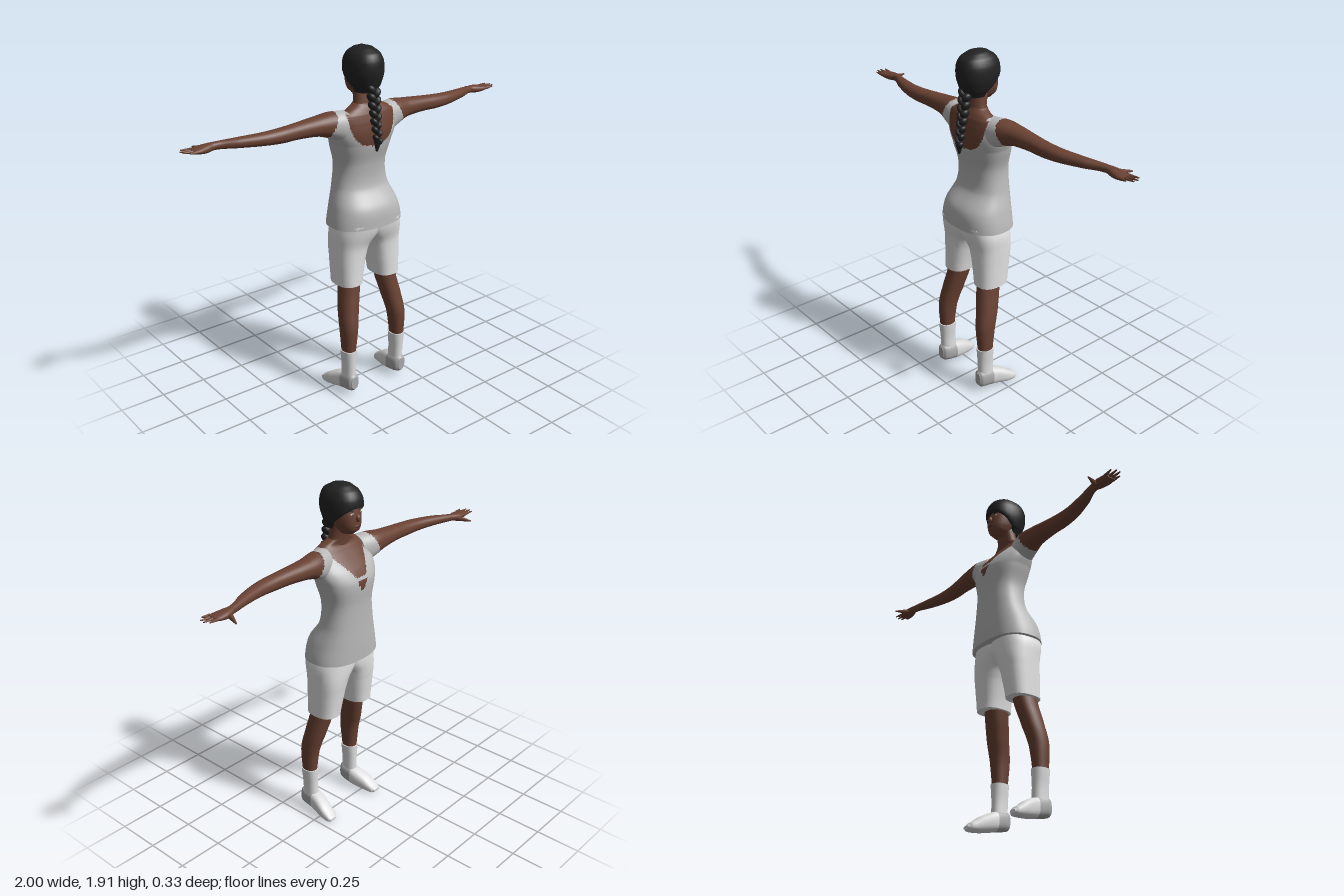
import * as THREE from 'three';

const mat = (name, color) => {
  const m = new THREE.MeshStandardMaterial({ color });
  m.name = name;
  return m;
};

// Smooth interpolation through rows of numbers
function sampleRows(rows, sub) {
  const out = [];
  for (let i = 0; i < rows.length - 1; i++) {
    const p0 = rows[Math.max(i - 1, 0)], p1 = rows[i], p2 = rows[i + 1], p3 = rows[Math.min(i + 2, rows.length - 1)];
    for (let k = 0; k < sub; k++) {
      const t = k / sub;
      out.push(p1.map((v, c) => {
        const m1 = (p2[c] - p0[c]) / 2, m2 = (p3[c] - p1[c]) / 2;
        if (c === 0) return v + (p2[c] - v) * t;
        return v * (2 * t ** 3 - 3 * t * t + 1) + m1 * (t ** 3 - 2 * t * t + t)
          + p2[c] * (3 * t * t - 2 * t ** 3) + m2 * (t ** 3 - t * t);
      }));
    }
  }
  out.push(rows[rows.length - 1]);
  return out;
}

const AXES = {
  x: (t, a, b) => [t, a, b], // rows: x, yMin, yMax, zMin, zMax
  y: (t, a, b) => [b, t, a], // rows: y, zMin, zMax, xMin, xMax
  z: (t, a, b) => [a, b, t], // rows: z, xMin, xMax, yMin, yMax
};

// Capped body through rounded sections; pick() sends a face to the second material
function loft(name, axis, rows, materials, { n = 2.2, segs = 24, sub = 4, side = 1, pick = null, warp = null } = {}) {
  const pos = [], lists = [[], []], rings = sampleRows(rows, sub);
  const place = (t, a, b) => {
    const p = AXES[axis](t, a, b);
    if (warp) warp(p);
    pos.push(p[0] * side, p[1], p[2]);
  };
  const ringPoints = ([t, a0, a1, b0, b1]) => {
    for (let j = 0; j < segs; j++) {
      const ang = (j / segs) * Math.PI * 2, c = Math.cos(ang), s = Math.sin(ang);
      const f = (v) => Math.sign(v) * Math.abs(v) ** (2 / n);
      place(t, (a0 + a1) / 2 + f(c) * (a1 - a0) / 2, (b0 + b1) / 2 + f(s) * (b1 - b0) / 2);
    }
  };
  const face = (i, j, k) => {
    const mid = [0, 1, 2].map((c) => (pos[i * 3 + c] + pos[j * 3 + c] + pos[k * 3 + c]) / 3);
    const list = lists[pick && pick(Math.abs(mid[0]), mid[1], mid[2]) ? 1 : 0];
    if (side > 0) list.push(i, j, k); else list.push(i, k, j);
  };
  rings.forEach(ringPoints);
  for (let i = 0; i < rings.length - 1; i++) for (let j = 0; j < segs; j++) {
    const a = i * segs + j, b = i * segs + (j + 1) % segs;
    face(a, b, b + segs);
    face(a, b + segs, a + segs);
  }
  for (const end of [0, 1]) {
    const r = end ? rings[rings.length - 1] : rings[0], base = pos.length / 3;
    ringPoints(r);
    place(r[0], (r[1] + r[2]) / 2, (r[3] + r[4]) / 2);
    for (let j = 0; j < segs; j++) {
      const a = base + j, b = base + (j + 1) % segs;
      if (end) face(a, b, base + segs); else face(b, a, base + segs);
    }
  }
  const g = new THREE.BufferGeometry();
  g.setAttribute('position', new THREE.Float32BufferAttribute(pos, 3));
  g.setIndex([...lists[0], ...lists[1]]);
  if (pick) {
    g.addGroup(0, lists[0].length, 0);
    g.addGroup(lists[0].length, lists[1].length, 1);
  }
  g.computeVertexNormals();
  const mesh = new THREE.Mesh(g, materials);
  mesh.name = name;
  return mesh;
}

// Tapered rod between two points
function rod(name, from, to, r0, r1, material) {
  const a = new THREE.Vector3(...from), b = new THREE.Vector3(...to), d = b.clone().sub(a);
  const mesh = new THREE.Mesh(new THREE.CylinderGeometry(r1, r0, d.length(), 8), material);
  mesh.position.copy(a).add(b).multiplyScalar(0.5);
  mesh.quaternion.setFromUnitVectors(new THREE.Vector3(0, 1, 0), d.normalize());
  mesh.name = name;
  return mesh;
}

function blob(name, p, s, material, tilt = 0) {
  const mesh = new THREE.Mesh(new THREE.SphereGeometry(1, 14, 10), material);
  mesh.position.set(...p);
  mesh.scale.set(...s);
  mesh.rotation.z = tilt;
  mesh.name = name;
  return mesh;
}

export function createModel() {
  const skin = mat('skin', 0x6a4233), hair = mat('hair', 0x222222), shirt = mat('shirt grey', 0xb9b9b9);
  const cloth = mat('shorts white', 0xe4e4e4), sock = mat('sock white', 0xe0e0e0), shoe = mat('shoe white', 0xdcdcdc);
  const heel = mat('heel grey', 0xaaaaaa), lip = mat('lip', 0x57302a), eye = mat('eye white', 0xc8beb4);
  const model = new THREE.Group();
  model.name = 'woman';

  // Torso: the top, with scooped back, V front and keyhole showing skin
  const neckline = (x, y, z) => {
    if (y > 1.59) return x < 0.13;
    if (z > 0.03) return (x / 0.145) ** 2.5 + ((1.6 - y) / 0.185) ** 2.5 < 1;
    return (y > 1.45 && x < 0.035 + (y - 1.45) * 0.75) || (y > 1.37 && y < 1.435 && x < (y - 1.37) * 0.6);
  };
  model.add(loft('torso', 'y', [
    [0.98, -0.13, 0.17, -0.212, 0.212], [1.08, -0.13, 0.157, -0.19, 0.19], [1.18, -0.128, 0.092, -0.157, 0.157],
    [1.3, -0.128, 0.087, -0.143, 0.143], [1.42, -0.133, 0.112, -0.172, 0.172], [1.48, -0.105, 0.117, -0.19, 0.19],
    [1.54, -0.055, 0.108, -0.185, 0.185], [1.58, -0.02, 0.097, -0.165, 0.165], [1.605, -0.005, 0.085, -0.12, 0.12],
    [1.63, -0.012, 0.072, -0.072, 0.072],
  ], [shirt, skin], { n: 2.4, segs: 96, sub: 9, pick: neckline }));

  // Neck and head
  model.add(loft('neck', 'y', [
    [1.56, -0.01, 0.085, -0.095, 0.095], [1.62, -0.012, 0.074, -0.068, 0.068], [1.72, -0.032, 0.06, -0.058, 0.058],
  ], skin));
  model.add(loft('face', 'y', [
    [1.665, -0.065, 0.03, -0.035, 0.035], [1.685, -0.09, 0.05, -0.052, 0.052], [1.72, -0.097, 0.075, -0.067, 0.067],
    [1.78, -0.09, 0.1, -0.077, 0.077], [1.85, -0.07, 0.1, -0.07, 0.07],
  ], skin));
  model.add(blob('nose', [0, 1.752, -0.093], [0.014, 0.02, 0.016], skin));
  model.add(blob('mouth', [0, 1.712, -0.094], [0.022, 0.007, 0.006], lip));
  for (const s of [-1, 1]) {
    model.add(blob('eye', [s * 0.03, 1.775, -0.083], [0.013, 0.006, 0.006], eye));
    model.add(blob('iris', [s * 0.03, 1.775, -0.087], [0.005, 0.005, 0.004], hair));
    model.add(blob('eyebrow', [s * 0.031, 1.791, -0.082], [0.017, 0.003, 0.006], hair));
  }

  // Hair cap, its lower edge swept up over the face
  model.add(loft('hair', 'y', [
    [1.685, -0.05, 0.095, -0.06, 0.06], [1.72, -0.08, 0.112, -0.08, 0.08], [1.78, -0.1, 0.13, -0.095, 0.095],
    [1.84, -0.1, 0.13, -0.092, 0.092], [1.88, -0.078, 0.112, -0.074, 0.074], [1.905, -0.04, 0.07, -0.045, 0.045],
    [1.913, -0.015, 0.035, -0.018, 0.018],
  ], hair, {
    segs: 28,
    warp: (p) => { if (p[2] < 0.02) p[1] = Math.max(p[1], Math.min(1.805, 1.71 + (0.02 - p[2]) * 0.85)); },
  }));

  // Braid of alternating strands
  const braid = new THREE.Group();
  braid.name = 'braid';
  for (let i = 0; i < 14; i++) {
    const t = i / 13, s = i % 2 ? 1 : -1, w = 1 - 0.35 * t;
    braid.add(blob('strand', [s * 0.015 * w, 1.705 - 0.265 * t, 0.095 + 0.043 * t],
      [0.021 * w, 0.031 * w, 0.03 * w], hair, s * -0.6));
  }
  braid.add(rod('braidTip', [0, 1.45, 0.137], [-0.004, 1.39, 0.134], 0.022, 0.006, hair));
  model.add(braid);

  for (const side of [-1, 1]) {
    // Arm with a slanted cap sleeve
    model.add(loft('arm', 'x', [
      [0.12, 1.43, 1.6, -0.04, 0.09], [0.2, 1.462, 1.602, -0.058, 0.077], [0.28, 1.49, 1.592, -0.055, 0.058],
      [0.4, 1.5, 1.582, -0.042, 0.05], [0.5, 1.5, 1.575, -0.035, 0.048], [0.6, 1.505, 1.569, -0.04, 0.036],
      [0.72, 1.511, 1.562, -0.062, 0], [0.82, 1.514, 1.553, -0.086, -0.044], [0.87, 1.508, 1.55, -0.101, -0.037],
      [0.91, 1.512, 1.545, -0.102, -0.03], [0.945, 1.521, 1.541, -0.098, -0.03],
    ], [skin, shirt], { side, sub: 8, segs: 32, pick: (x, y) => x < 0.185 + (1.6 - y) * 0.45 }));

    // Fingers and thumb
    [[-0.09, 0.985, -0.1], [-0.071, 1, -0.076], [-0.053, 0.997, -0.052], [-0.037, 0.97, -0.028]].forEach(([z, tx, tz]) =>
      model.add(rod('finger', [side * 0.93, 1.531, z], [side * tx, 1.535, tz], 0.01, 0.003, skin)));
    model.add(rod('thumb', [side * 0.855, 1.526, -0.075], [side * 0.889, 1.517, -0.163], 0.018, 0.004, skin));

    // Shorts
    model.add(loft('shortsLeg', 'y', [
      [0.65, -0.062, 0.122, 0.052, 0.197], [0.8, -0.08, 0.125, 0.026, 0.2], [0.87, -0.09, 0.13, 0, 0.202],
      [0.94, -0.095, 0.15, -0.06, 0.202], [1, -0.095, 0.16, -0.06, 0.19],
    ], cloth, { n: 2.5, side }));

    // Leg, sock and shoe
    model.add(loft('leg', 'y', [
      [0.25, 0.062, 0.146, 0.133, 0.204], [0.4, 0.046, 0.155, 0.118, 0.211], [0.5, 0.017, 0.138, 0.097, 0.203],
      [0.65, -0.02, 0.112, 0.066, 0.178], [0.7, -0.03, 0.11, 0.06, 0.175],
    ], skin, { side }));
    model.add(loft('sock', 'y', [
      [0.07, 0.052, 0.145, 0.132, 0.2], [0.18, 0.056, 0.148, 0.133, 0.201], [0.275, 0.054, 0.153, 0.126, 0.21],
    ], sock, { side }));
    model.add(loft('shoe', 'z', [
      [-0.093, 0.17, 0.212, 0.014, 0.032], [-0.075, 0.152, 0.222, 0.004, 0.05], [-0.02, 0.138, 0.224, 0.005, 0.088],
      [0.05, 0.123, 0.21, 0.015, 0.12], [0.12, 0.124, 0.205, 0.027, 0.13], [0.145, 0.132, 0.2, 0.033, 0.13],
      [0.157, 0.147, 0.187, 0.045, 0.118],
    ], [shoe, heel], { n: 2.6, side, pick: (x, y, z) => z > 0.065 }));
  }
  return model;
}
